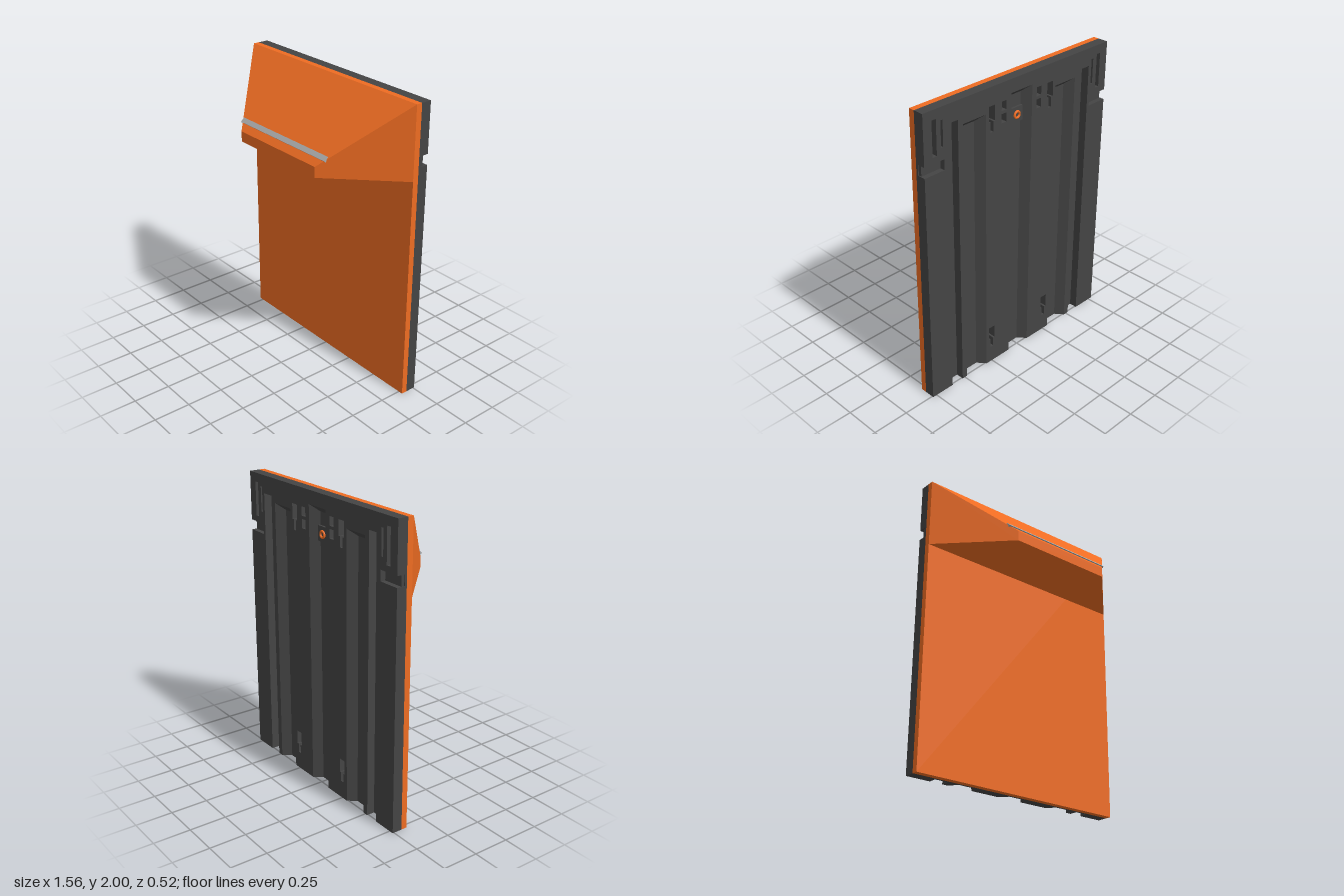
import * as THREE from 'three';
import { ConvexGeometry } from 'three/addons/geometries/ConvexGeometry.js';

const orange = new THREE.MeshStandardMaterial({ color: 0xee6c22, flatShading: true });
const dark = new THREE.MeshStandardMaterial({ color: 0x444444, flatShading: true });
const steel = new THREE.MeshStandardMaterial({ color: 0xaaaaaa, flatShading: true });

const BACK = -0.26, FLOOR = -0.205, SEAM = -0.19, FACE = -0.15;

export function createModel() {
  const model = new THREE.Group();

  function add(name, geometry, material, x = 0, y = 0, z = 0) {
    const mesh = new THREE.Mesh(geometry, material);
    mesh.name = name;
    mesh.position.set(x, y, z);
    model.add(mesh);
    return mesh;
  }
  // Box given by its limits
  const box = (name, mat, x0, x1, y0, y1, z0, z1) =>
    add(name, new THREE.BoxGeometry(x1 - x0, y1 - y0, z1 - z0), mat,
      (x0 + x1) / 2, (y0 + y1) / 2, (z0 + z1) / 2);

  // Front panel
  box('frontPanel', orange, -0.78, 0.78, 0, 2, SEAM, FACE);

  // Hood: 45 degree slopes on top and both sides, short vertical lip
  const corners = [];
  for (const s of [-1, 1]) {
    corners.push(
      new THREE.Vector3(s * 0.78, 2, FACE), new THREE.Vector3(s * 0.78, 1.52, FACE),
      new THREE.Vector3(s * 0.37, 1.59, 0.26), new THREE.Vector3(s * 0.37, 1.52, 0.26));
  }
  add('hood', new ConvexGeometry(corners), orange);

  // Metal strip lying across the hood slope
  const strip = add('hoodStrip', new THREE.BoxGeometry(0.84, 0.034, 0.014), steel, 0, 1.64, 0.21);
  strip.rotation.x = -Math.PI / 4;

  // Dark backing: thin floor, then a ribbed layer cut by channels and slots
  box('backFloor', dark, -0.78, 0.78, 0, 2, FLOOR, SEAM);

  const half = [
    [0.78, 2], [0.78, 1.67], [0.63, 1.67], [0.63, 1.6], [0.78, 1.6], [0.78, 0],
    [0.61, 0], [0.61, 1.88], [0.52, 1.88], [0.52, 0],
    [0.48, 0], [0.48, 1.84], [0.3, 1.84], [0.3, 0],
    [0.09, 0], [0.09, 1.91],
  ];
  const outline = [...half, ...half.map(([x, y]) => [-x, y]).reverse()];
  const ribs = new THREE.Shape(outline.map(([x, y]) => new THREE.Vector2(x, y)));

  const cut = (points) =>
    ribs.holes.push(new THREE.Path(points.map(([x, y]) => new THREE.Vector2(x, y))));
  const slot = (x, y0, y1, w) =>
    cut([[x - w / 2, y0], [x + w / 2, y0], [x + w / 2, y1], [x - w / 2, y1]]);
  // Hook slot: wide top half, narrow lower half
  const hookSlot = (x, y0, y1) => {
    const m = y0 + (y1 - y0) * 0.4;
    cut([[x - 0.012, y0], [x + 0.012, y0], [x + 0.012, m], [x + 0.026, m],
      [x + 0.026, y1], [x - 0.026, y1], [x - 0.026, m], [x - 0.012, m]]);
  };
  for (const s of [-1, 1]) {
    slot(s * 0.7, 1.71, 1.94, 0.032);
    slot(s * 0.643, 1.75, 1.92, 0.016);
    hookSlot(s * 0.25, 1.71, 1.88);
    hookSlot(s * 0.25, 0.12, 0.28);
    slot(s * 0.15, 1.82, 1.88, 0.04);
    slot(s * 0.15, 1.74, 1.8, 0.04);
  }
  add('backRibs', new THREE.ExtrudeGeometry(ribs, { depth: FLOOR - BACK, bevelEnabled: false }),
    dark, 0, 0, BACK);

  // Shallow floor of the side notches
  for (const s of [-1, 1]) {
    const n = box('sideNotchFloor', dark, 0.63, 0.775, 1.6, 1.67, -0.226, FLOOR);
    n.position.x *= s;
  }

  // Sloping walls and top of the three wide channels
  const wedge = (length) => new THREE.ExtrudeGeometry(
    new THREE.Shape([[0, 0], [0.045, 0], [0, FLOOR - BACK]].map((p) => new THREE.Vector2(...p))),
    { depth: length, bevelEnabled: false });
  for (const [x, top] of [[-0.39, 1.84], [0, 1.91], [0.39, 1.84]]) {
    // Wedge cross-section (u, v) turned so that v points to the back
    const left = add('channelWall', wedge(top), dark, x - 0.09, 0, FLOOR);
    left.rotation.x = -Math.PI / 2;
    left.scale.y = 1;
    const right = add('channelWall', wedge(top), dark, x + 0.09, top, FLOOR);
    right.rotation.set(-Math.PI / 2, Math.PI, 0);
    const cap = add('channelTop', wedge(0.18), dark, x - 0.09, top, FLOOR);
    cap.quaternion.setFromRotationMatrix(new THREE.Matrix4().makeBasis(
      new THREE.Vector3(0, -1, 0), new THREE.Vector3(0, 0, -1), new THREE.Vector3(1, 0, 0)));
  }
  // Same orientation rule for every channel wall: v to the back, length along y
  model.children.filter((m) => m.name === 'channelWall').forEach((m, i) => {
    const s = i % 2 ? -1 : 1;
    m.position.y = s > 0 ? 0 : m.position.y;
    m.quaternion.setFromRotationMatrix(new THREE.Matrix4().makeBasis(
      new THREE.Vector3(s, 0, 0), new THREE.Vector3(0, 0, -1), new THREE.Vector3(0, s, 0)));
  });

  // Fixing point in the middle channel: square pad with a coloured ring
  box('fixingPad', dark, -0.05, 0.05, 1.68, 1.78, -0.22, FLOOR);
  add('fixingRing', new THREE.TorusGeometry(0.021, 0.008, 8, 20), orange, 0, 1.73, -0.222);

  return model;
}
